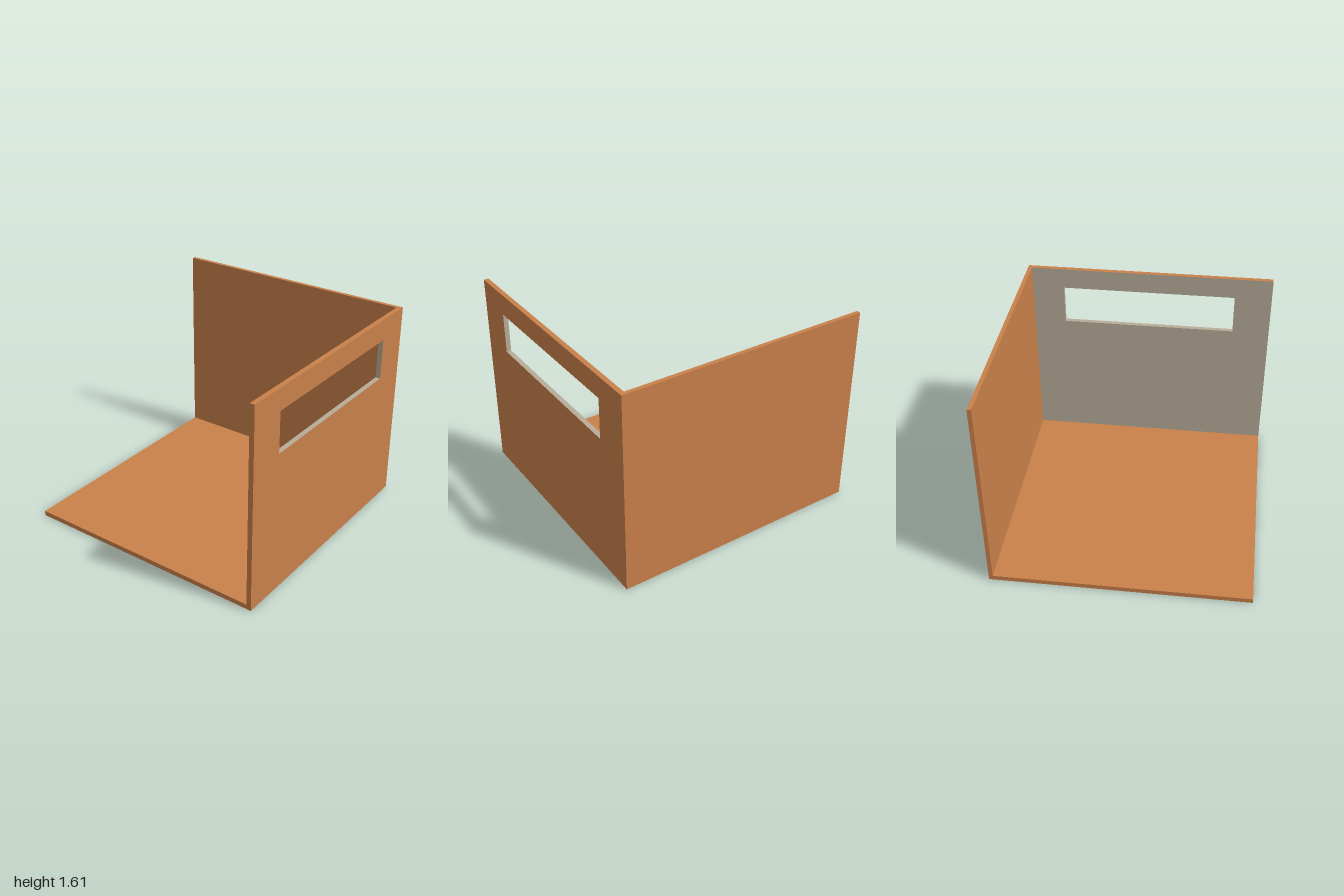
import * as THREE from 'three';

const H = 1.61, WALL = 0.038, BACK = 0.032, FLOOR = 0.038;
const WIN = { u0: -0.70, u1: 0.71, y0: 1.12, y1: 1.44 };

export function createModel() {
  const orange = new THREE.MeshStandardMaterial({ color: 0xc9804a });
  orange.name = 'terracotta';
  const grey = new THREE.MeshStandardMaterial({ color: 0xb8ac99 });
  grey.name = 'warm grey';

  const group = new THREE.Group();
  group.name = 'roomCorner';

  const slab = (name, x0, x1, y0, y1, z0, z1) => {
    const mesh = new THREE.Mesh(new THREE.BoxGeometry(x1 - x0, y1 - y0, z1 - z0), orange);
    mesh.position.set((x0 + x1) / 2, (y0 + y1) / 2, (z0 + z1) / 2);
    mesh.name = name;
    group.add(mesh);
  };

  // Floor and solid back wall
  const inner = 1 - WALL;
  slab('floor', -1, inner, 0, FLOOR, -1, 1);
  slab('backWall', -1, inner, FLOOR, H, -1, -1 + BACK);

  // Side wall with a long window opening
  const rect = (P, u0, u1, y0, y1) => new P([
    new THREE.Vector2(u0, y0), new THREE.Vector2(u1, y0),
    new THREE.Vector2(u1, y1), new THREE.Vector2(u0, y1),
  ]);
  const shape = rect(THREE.Shape, -1, 1, 0, H);
  shape.holes.push(rect(THREE.Path, WIN.u0, WIN.u1, WIN.y0, WIN.y1));
  const geo = new THREE.ExtrudeGeometry(shape, { depth: WALL, bevelEnabled: false });

  // Grey on the room side and inside the window opening, terracotta elsewhere
  const p = geo.attributes.position, e = 1e-4;
  geo.clearGroups();
  for (let i = 0; i < p.count; i += 3) {
    const corners = [i, i + 1, i + 2];
    const roomSide = corners.every(k => p.getZ(k) < e);
    const reveal = corners.every(k =>
      p.getX(k) > WIN.u0 - e && p.getX(k) < WIN.u1 + e &&
      p.getY(k) > WIN.y0 - e && p.getY(k) < WIN.y1 + e);
    geo.addGroup(i, 3, roomSide || reveal ? 1 : 0);
  }
  geo.rotateY(Math.PI / 2);
  geo.translate(inner, 0, 0);
  const wall = new THREE.Mesh(geo, [orange, grey]);
  wall.name = 'windowWall';
  group.add(wall);

  return group;
}
